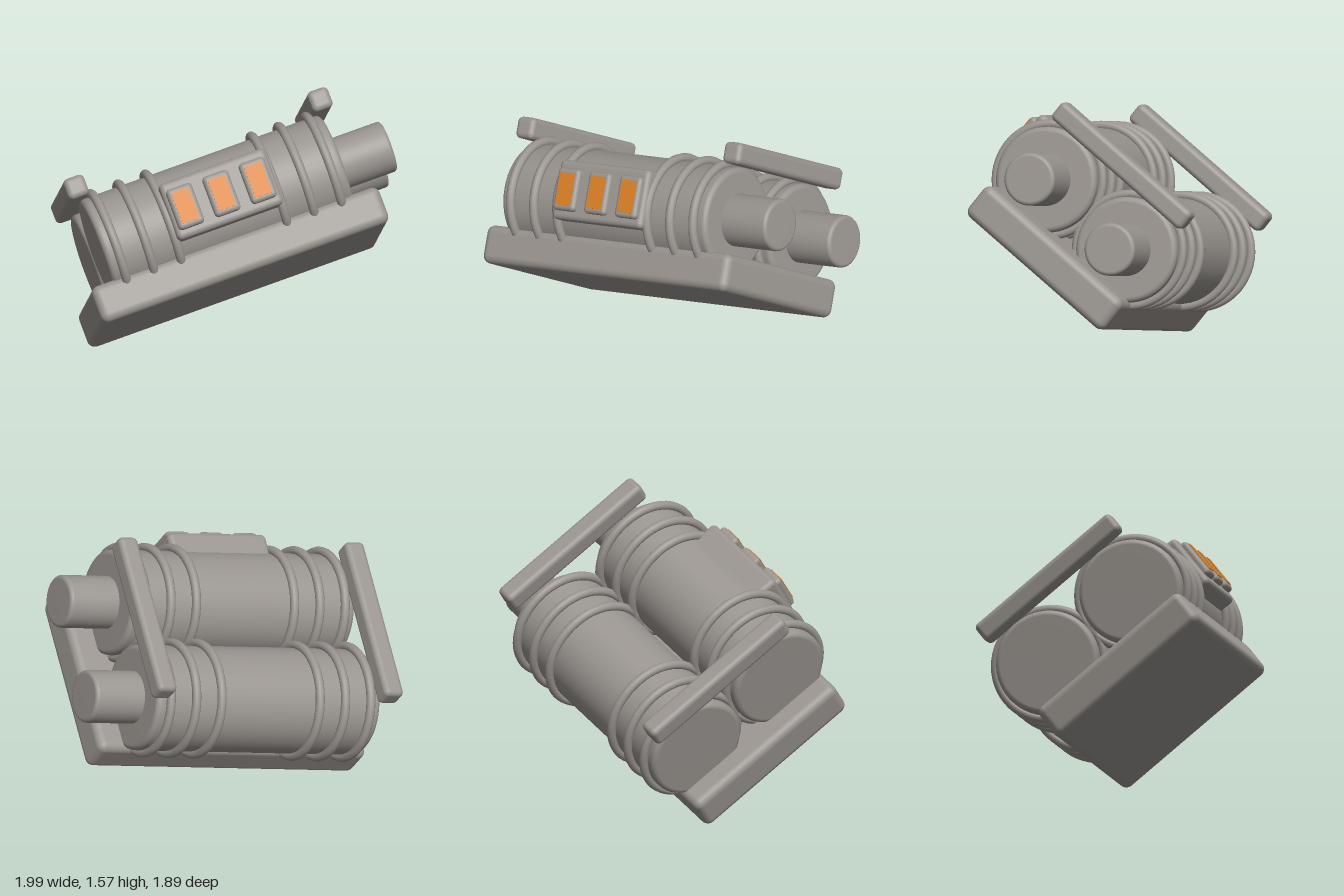
import * as THREE from 'three';
import { RoundedBoxGeometry } from 'three/addons/geometries/RoundedBoxGeometry.js';

const metal = new THREE.MeshStandardMaterial({ color: 0x9a9590 });
metal.name = 'warm grey metal';
const amber = new THREE.MeshStandardMaterial({ color: 0xd98025 });
amber.name = 'amber light';

// Rod along x with rounded rims
function rodGeometry(radius, length, bevel) {
  const h = length / 2, pts = [new THREE.Vector2(0, -h)];
  for (const side of [-1, 1]) {
    for (let i = 0; i <= 5; i++) {
      const a = (side < 0 ? i - 5 : i) / 5 * Math.PI / 2;
      pts.push(new THREE.Vector2(radius - bevel + bevel * Math.cos(a), side * (h - bevel) + bevel * Math.sin(a)));
    }
  }
  pts.push(new THREE.Vector2(0, h));
  return new THREE.LatheGeometry(pts, 48).rotateZ(-Math.PI / 2);
}

export function createModel() {
  const model = new THREE.Group();
  model.name = 'twinTankUnit';
  const body = new THREE.Group();
  body.name = 'tiltedBody';
  model.add(body);

  const add = (name, geometry, x, y, z, material = metal) => {
    const mesh = new THREE.Mesh(geometry, material);
    mesh.name = name;
    mesh.position.set(x, y, z);
    body.add(mesh);
    return mesh;
  };
  const box = (w, h, d, r) => new RoundedBoxGeometry(w, h, d, 4, r);

  // Base plate
  add('basePlate', box(1.686, 0.212, 1.024, 0.045), 0, 0.106, 0);

  // Two tanks, each with an outlet pipe and six hoops
  const tank = rodGeometry(0.29, 1.41, 0.03);
  const pipe = rodGeometry(0.145, 0.45, 0.022);
  const hoop = new THREE.TorusGeometry(0.305, 0.025, 12, 56).rotateY(Math.PI / 2);
  for (const [label, z] of [['front', 0.3], ['rear', -0.3]]) {
    add(label + 'Tank', tank, -0.008, 0.415, z);
    add(label + 'OutletPipe', pipe, 0.775, 0.415, z);
    for (const side of [-1, 1])
      for (const x of [0.31, 0.47, 0.63]) add(label + 'Hoop', hoop, side * x - 0.008, 0.415, z);
  }

  // Cross bars over the tank ends
  for (const side of [-1, 1]) add('crossBar', box(0.12, 0.12, 0.97, 0.03), side * 0.715, 0.765, 0);

  // Control panel with three framed lights on the front tank
  add('controlPanel', box(0.62, 0.33, 0.2, 0.03), 0, 0.44, 0.55);
  for (const x of [-0.213, 0, 0.213]) {
    add('lightFrame', box(0.15, 0.235, 0.07, 0.024), x, 0.44, 0.65);
    add('indicatorLight', new THREE.BoxGeometry(0.1, 0.18, 0.008), x, 0.44, 0.686, amber);
  }

  // Tilt the whole assembly
  const along = new THREE.Vector3(0.798, 0.249, -0.549).normalize();
  const up = new THREE.Vector3(-0.496, 0.79, -0.362);
  const front = new THREE.Vector3().crossVectors(along, up).normalize();
  up.crossVectors(front, along);
  body.quaternion.setFromRotationMatrix(new THREE.Matrix4().makeBasis(along, up, front));
  body.position.set(0.173, 0.472, 0.128);
  return model;
}
